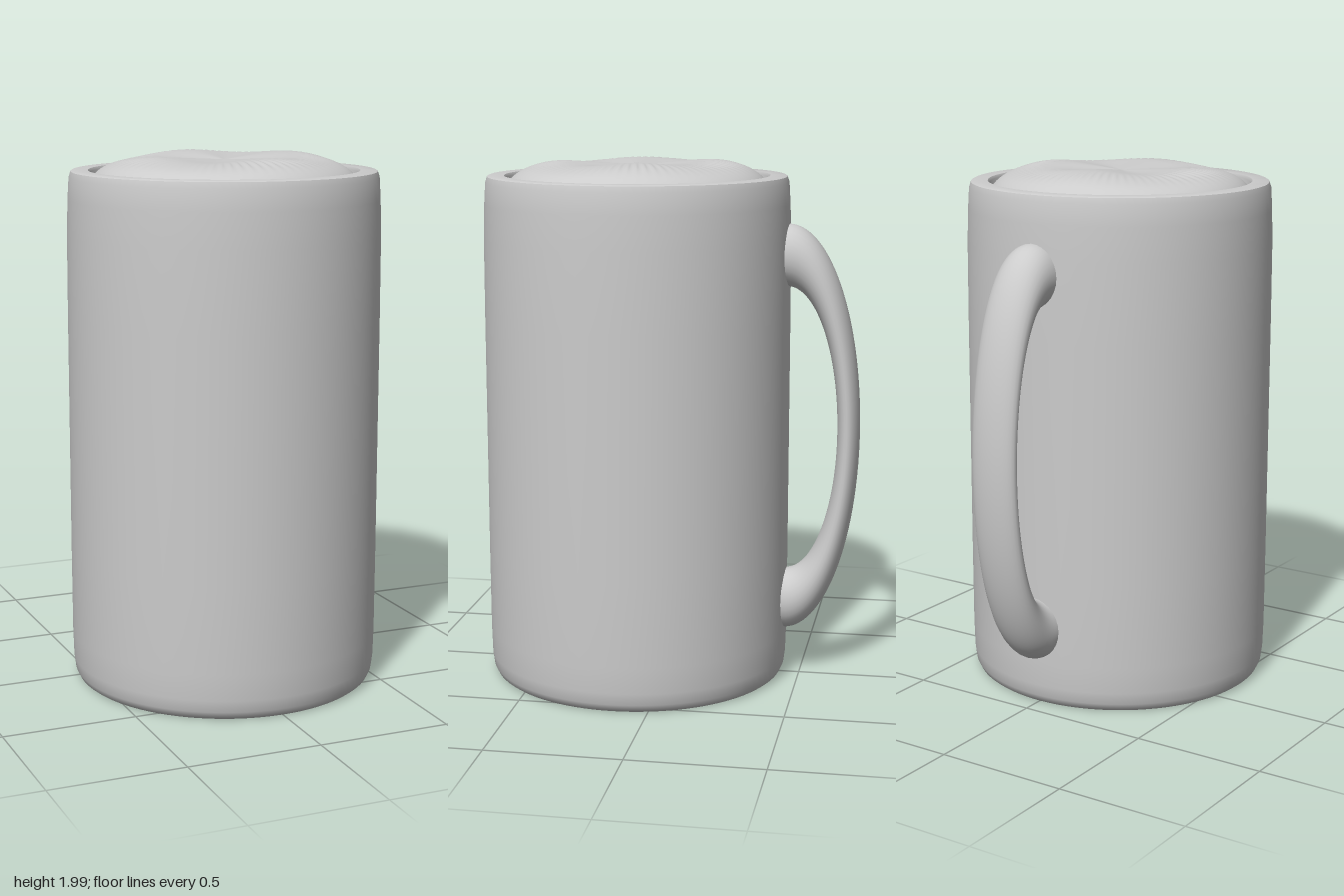
import * as THREE from 'three';
import { mergeVertices, toCreasedNormals } from 'three/addons/utils/BufferGeometryUtils.js';

const material = new THREE.MeshStandardMaterial({ color: 0xcccccc, roughness: 0.7 });
const CUP_Z = 0.137;

function part(name, geometry) {
  const mesh = new THREE.Mesh(geometry, material);
  mesh.name = name;
  return mesh;
}

const toPoints = (list) => list.map(([r, y]) => new THREE.Vector2(r, y));

// Hollow body: outside from base to rim, then down the inner wall to the floor
function cupGeometry() {
  const profile = toPoints([
    [0, 0.003], [0.55, 0.003], [0.562, 0.012], [0.573, 0.035], [0.579, 0.08], [0.582, 0.18],
    [0.583, 0.5], [0.583, 1.4], [0.582, 1.7], [0.578, 1.83], [0.573, 1.91], [0.566, 1.932],
    [0.56, 1.935], [0.502, 1.935], [0.495, 1.925], [0.495, 0.1], [0, 0.1],
  ]);
  return toCreasedNormals(new THREE.LatheGeometry(profile, 96), 0.75);
}

// Foam: a dome with broad lobes and a band of fine radial ripples
function foamGeometry() {
  const curve = new THREE.SplineCurve(toPoints([
    [0.497, 1.885], [0.485, 1.912], [0.455, 1.94], [0.41, 1.962], [0.34, 1.978],
    [0.26, 1.984], [0.15, 1.979], [0, 1.972],
  ]));
  let geometry = new THREE.LatheGeometry(curve.getPoints(28), 288);
  const p = geometry.attributes.position;
  for (let i = 0; i < p.count; i++) {
    const x = p.getX(i), z = p.getZ(i);
    const r = Math.hypot(x, z), a = Math.atan2(z, x);
    const lobe = Math.sin(Math.PI * Math.min(r / 0.49, 1));
    const band = Math.exp(-(((r - 0.34) / 0.06) ** 2));
    const lift = 0.006 * lobe * (Math.cos(4 * a + 0.6) + 0.8 * Math.cos(a + 0.8))
      + 0.003 * band * Math.cos(72 * a) * (0.65 + 0.35 * Math.cos(4 * a));
    p.setY(i, Math.min(p.getY(i) + lift, 2));
  }
  geometry.deleteAttribute('normal');
  geometry.deleteAttribute('uv');
  geometry = mergeVertices(geometry, 1e-5);
  geometry.computeVertexNormals();
  return geometry;
}

// Handle: oval sections spanning an outer and an inner half ellipse
function handleGeometry() {
  const steps = 56, sides = 28, positions = [], index = [];
  for (let i = -1; i <= steps + 1; i++) {
    const t = Math.PI * THREE.MathUtils.clamp(i / steps, 0, 1);
    const inset = i < 0 || i > steps ? 0.035 : 0; // ends sunk into the wall
    const outer = [0.975 + 0.785 * Math.cos(t), -0.44 - 0.28 * Math.sin(t) + inset];
    const inner = [0.975 + 0.55 * Math.cos(t), -0.44 - 0.195 * Math.sin(t) + inset];
    const halfWidth = 0.104 - 0.01 * Math.sin(t);
    for (let j = 0; j < sides; j++) {
      const v = (j / sides) * Math.PI * 2, k = (1 + Math.cos(v)) / 2;
      positions.push(
        halfWidth * Math.sin(v),
        THREE.MathUtils.lerp(inner[0], outer[0], k),
        THREE.MathUtils.lerp(inner[1], outer[1], k),
      );
    }
  }
  for (let i = 0; i < steps + 2; i++) {
    for (let j = 0; j < sides; j++) {
      const a = i * sides + j, b = i * sides + (j + 1) % sides;
      index.push(a, b, a + sides, b, b + sides, a + sides);
    }
  }
  const geometry = new THREE.BufferGeometry();
  geometry.setAttribute('position', new THREE.Float32BufferAttribute(positions, 3));
  geometry.setIndex(index);
  geometry.computeVertexNormals();
  return geometry;
}

export function createModel() {
  const mug = new THREE.Group();
  mug.name = 'mug';
  const cup = part('cup', cupGeometry());
  const foam = part('foam', foamGeometry());
  cup.position.z = foam.position.z = CUP_Z;
  mug.add(cup, foam, part('handle', handleGeometry()));
  return mug;
}
